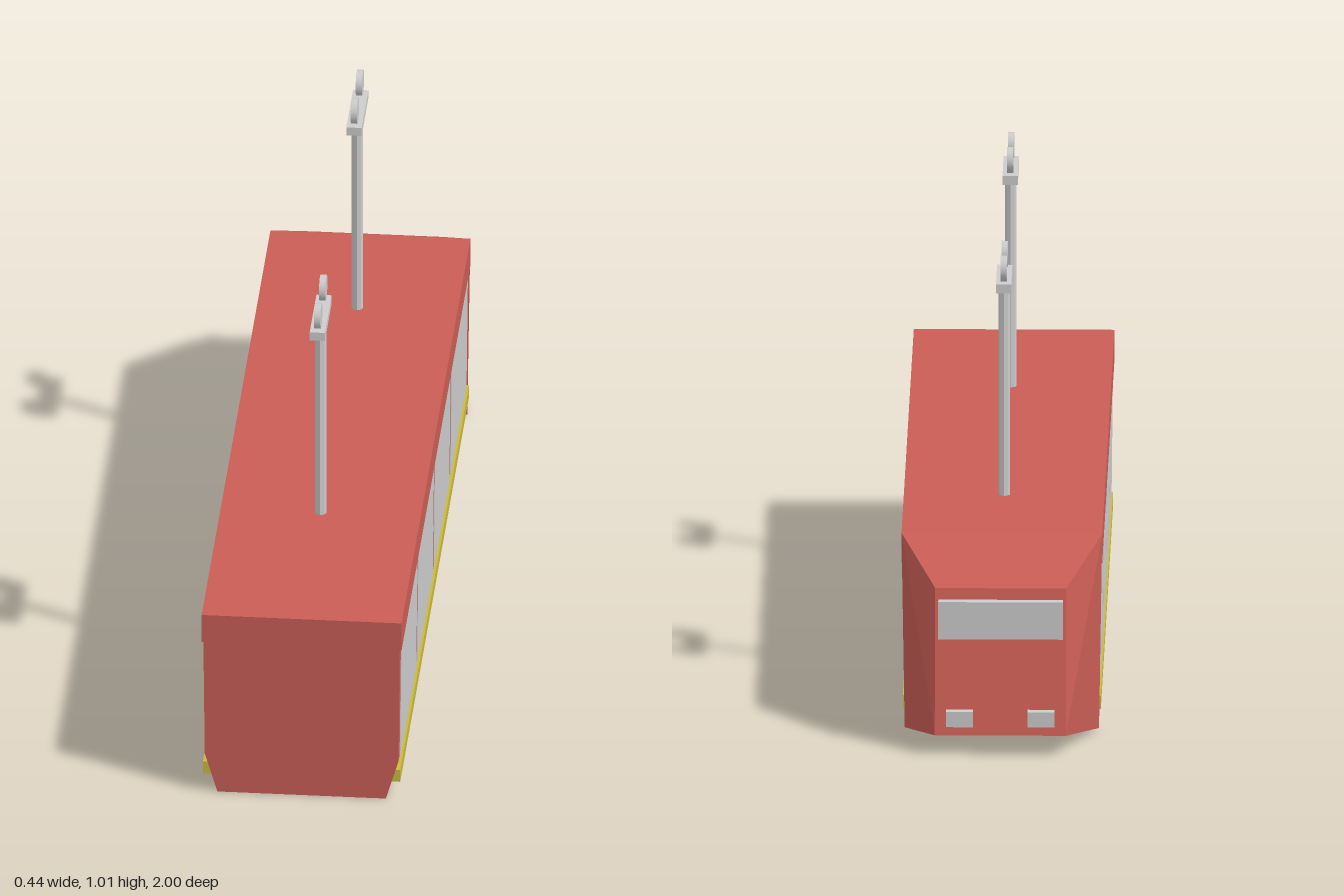
import * as THREE from 'three';
import { ConvexGeometry } from 'three/addons/geometries/ConvexGeometry.js';

const mat = (name, color) => {
  const m = new THREE.MeshStandardMaterial({ color });
  m.name = name;
  return m;
};

export function createModel() {
  const red = mat('red paint', 0xc95d55);
  const grey = mat('light grey', 0xcccccc);
  const yellow = mat('yellow', 0xc9b83e);
  const model = new THREE.Group();
  model.name = 'railcar';

  const add = (parent, name, geometry, material, x = 0, y = 0, z = 0) => {
    const mesh = new THREE.Mesh(geometry, material);
    mesh.name = name;
    mesh.position.set(x, y, z);
    parent.add(mesh);
    return mesh;
  };
  const box = (w, h, d) => new THREE.BoxGeometry(w, h, d);

  // Long body: chamfered sills, slightly leaning walls, overhanging roof band
  const right = [[0.187, 0], [0.215, 0.095], [0.218, 0.377], [0.222, 0.377], [0.222, 0.445]];
  const left = right.map(([x, y]) => [-x, y]).reverse();
  const section = new THREE.Shape([...right, ...left].map(([x, y]) => new THREE.Vector2(x, y)));
  const bodyGeometry = new THREE.ExtrudeGeometry(section, { depth: 1.755, bevelEnabled: false });
  add(model, 'body', bodyGeometry, red, 0, 0, -0.755);

  // Tapered cab
  const cabPoints = [];
  for (const s of [-1, 1]) {
    for (const [x, y, z] of [[0.222, 0.445, -0.755], [0.215, 0, -0.755], [0.145, 0.36, -0.91], [0.145, 0.045, -0.993]]) {
      cabPoints.push(new THREE.Vector3(s * x, y, z));
    }
  }
  add(model, 'cab', new ConvexGeometry(cabPoints), red);

  // Windscreen and lamps on the cab face
  add(model, 'windscreen', box(0.276, 0.085, 0.03), grey, 0, 0.293, -0.924);
  for (const s of [-1, 1]) add(model, 'headlamp', box(0.06, 0.035, 0.03), grey, s * 0.09, 0.083, -0.985);

  // Side windows and stripes
  const windows = [[0.97, 0.56], [0.535, 0.14], [0.112, -0.283], [-0.313, -0.723]];
  for (const s of [-1, 1]) {
    for (const [a, b] of windows) {
      const pane = add(model, 'sideWindow', box(0.004, 0.287, a - b), grey, s * 0.2158, 0.2335, (a + b) / 2);
      pane.rotation.z = -s * 0.0106;
    }
    add(model, 'sideStripe', box(0.024, 0.03, 1.755), yellow, s * 0.207, 0.059, 0.1225);
  }

  // Roof masts, each with a crossbar and two discs
  for (const z of [0.513, -0.422]) {
    const mast = new THREE.Group();
    mast.name = 'roofMast';
    mast.position.z = z;
    model.add(mast);
    const pole = new THREE.CylinderGeometry(0.0125, 0.0125, 0.495, 8).toNonIndexed();
    pole.computeVertexNormals();
    add(mast, 'pole', pole, grey, 0, 0.6825, 0);
    add(mast, 'crossbar', box(0.034, 0.02, 0.172), grey, 0, 0.938, 0);
    for (const s of [-1, 1]) {
      const disc = new THREE.CylinderGeometry(0.029, 0.029, 0.014, 16).rotateZ(Math.PI / 2);
      add(mast, 'disc', disc, grey, 0, 0.979, s * 0.064);
    }
  }
  return model;
}
